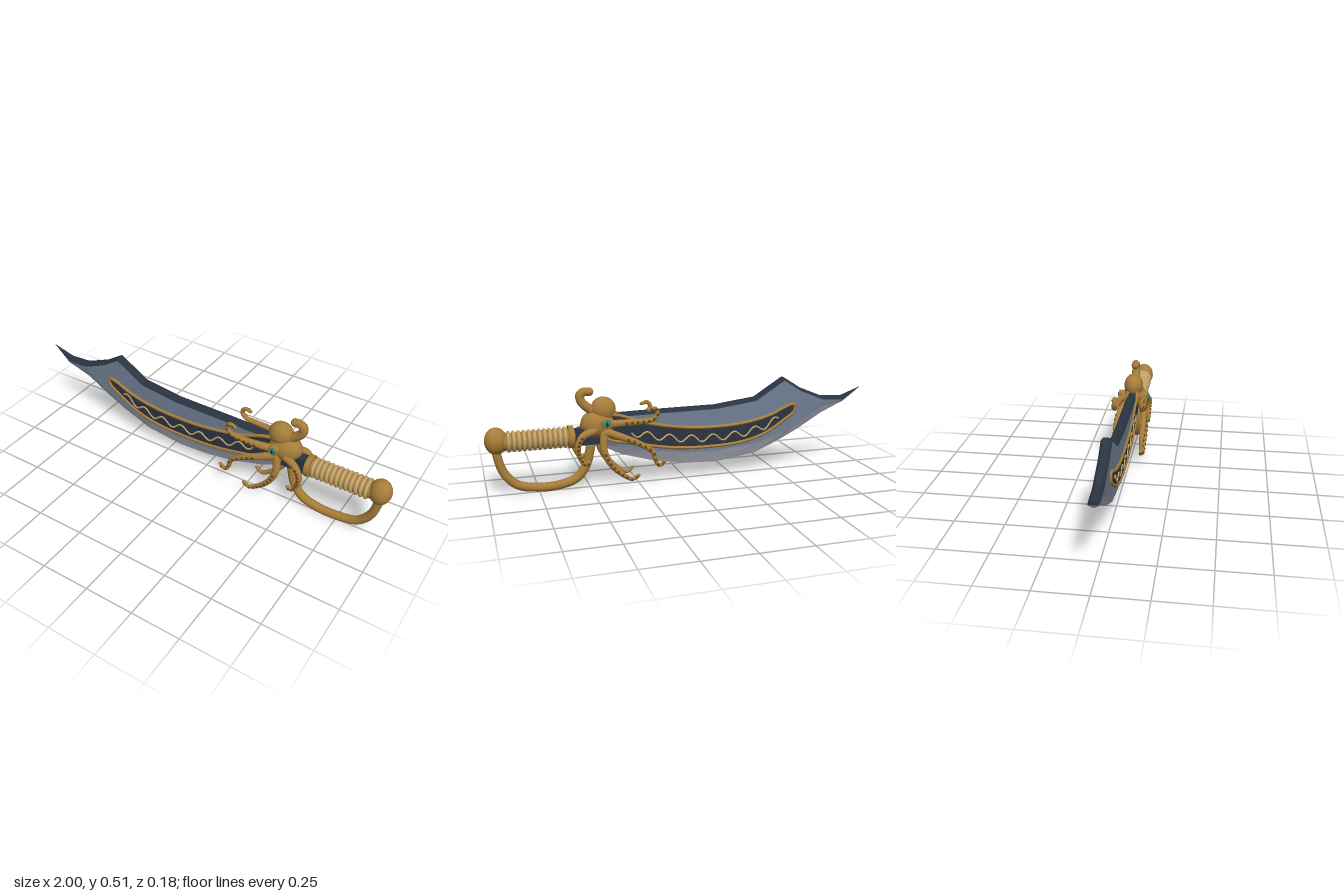
import * as THREE from 'three';

const mat = (name, color, side = THREE.FrontSide) => {
  const m = new THREE.MeshStandardMaterial({ color, side });
  m.name = name;
  return m;
};

export function createModel() {
  const brass = mat('brass', 0xa67d3a);
  const wire = mat('pale brass', 0xc4a468);
  const steel = mat('blue steel', 0x718094);
  const edgeSteel = mat('sharpened edge', 0xa6abb4);
  const navy = mat('dark steel', 0x2b3442);
  const teal = mat('teal eye', 0x1f8c86);
  const black = mat('pupil', 0x12161c);
  const sucker = mat('sucker brown', 0x65451f);

  const root = new THREE.Group();
  root.name = 'octopusCutlass';
  const add = (name, geo, material, x = 0, y = 0, z = 0, parent = root) => {
    const mesh = new THREE.Mesh(geo, material);
    mesh.name = name;
    mesh.position.set(x, y, z);
    parent.add(mesh);
    return mesh;
  };
  const ball = (name, material, r, x, y, z, sx = 1, sy = 1, sz = 1, parent = root) => {
    const m = add(name, new THREE.SphereGeometry(r, 24, 16), material, x, y, z, parent);
    m.scale.set(sx, sy, sz);
    return m;
  };
  const curveOf = (pts, closed = false) =>
    new THREE.CatmullRomCurve3(pts.map(p => new THREE.Vector3(p[0], p[1], p[2] || 0)), closed);

  // Tube whose radius runs from r0 to r1, with rounded ends
  const taperTube = (name, curve, r0, r1, material, parent = root, segs = 40) => {
    const sides = 10;
    const geo = new THREE.TubeGeometry(curve, segs, 1, sides);
    const pos = geo.attributes.position;
    const v = new THREE.Vector3();
    for (let i = 0; i < pos.count; i++) {
      const t = Math.floor(i / (sides + 1)) / segs;
      const c = curve.getPointAt(t);
      v.fromBufferAttribute(pos, i).sub(c).multiplyScalar(r0 + (r1 - r0) * t).add(c);
      pos.setXYZ(i, v.x, v.y, v.z);
    }
    geo.computeBoundingSphere();
    add(name, geo, material, 0, 0, 0, parent);
    for (const [t, r] of [[0, r0], [1, r1]]) {
      const c = curve.getPointAt(t);
      ball(name + 'End', material, r, c.x, c.y, c.z, 1, 1, 1, parent);
    }
  };

  // Blade cross-sections: x, spine, grind line, edge, half thickness
  const stations = [
    [-1, 0.425, 0.425, 0.425, 0], [-0.885, 0.377, 0.355, 0.347, 0.025],
    [-0.767, 0.385, 0.338, 0.293, 0.026], [-0.634, 0.44, 0.262, 0.215, 0.026],
    [-0.537, 0.502, 0.208, 0.166, 0.026], [-0.38, 0.404, 0.158, 0.1, 0.026],
    [-0.163, 0.377, 0.138, 0.072, 0.026], [0, 0.376, 0.142, 0.08, 0.026],
    [0.15, 0.375, 0.16, 0.103, 0.026], [0.33, 0.372, 0.2, 0.155, 0.026], [0.46, 0.35, 0.25, 0.22, 0.026],
  ];
  const row = (yOf, zOf) => stations.map(s => [s[0], yOf(s), zOf(s)]);
  const strip = (name, a, b, material, flip = false) => {
    const p = [];
    for (let i = 0; i < a.length - 1; i++) {
      const q = flip ? [a[i], a[i + 1], b[i + 1], b[i]] : [a[i], b[i], b[i + 1], a[i + 1]];
      for (const k of [0, 1, 2, 0, 2, 3]) p.push(...q[k]);
    }
    const geo = new THREE.BufferGeometry();
    geo.setAttribute('position', new THREE.Float32BufferAttribute(p, 3));
    geo.computeVertexNormals();
    add(name, geo, material);
  };
  const shoulderY = s => s[1] - 0.6 * s[4];
  const spine = side => row(s => s[1], s => side * s[4] * 0.6);
  strip('bladeSpine', spine(-1), spine(1), navy);
  for (const side of [1, -1]) {
    const shoulder = row(shoulderY, s => side * s[4]);
    const grind = row(s => s[2], s => side * s[4] * 0.85);
    const edge = row(s => s[3], () => 0);
    strip('spineBevel', spine(side), shoulder, navy, side < 0);
    strip('bladeFlat', shoulder, grind, steel, side < 0);
    strip('bladeEdge', grind, edge, edgeSteel, side < 0);
  }
  add('tang', new THREE.BoxGeometry(0.16, 0.08, 0.05), navy, 0.51, 0.265, 0);

  // Dark inlay, brass rim and wavy inlay on both faces
  const upper = [[-0.595, 0.358], [-0.55, 0.347], [-0.46, 0.308], [-0.34, 0.28], [-0.18, 0.268], [0, 0.276], [0.2, 0.312], [0.4, 0.365]];
  const lower = [[0.42, 0.26], [0.27, 0.214], [0.06, 0.174], [-0.12, 0.165], [-0.29, 0.174], [-0.42, 0.207], [-0.53, 0.27], [-0.6, 0.325]];
  const outline = curveOf([...upper, ...lower], true);
  const inlay = new THREE.Shape(outline.getPoints(100).map(p => new THREE.Vector2(p.x, p.y)));
  const upCurve = curveOf(upper), lowCurve = curveOf([...lower].reverse());
  const wavePts = [];
  for (let i = 0; i <= 112; i++) {
    const t = 0.1 + 0.78 * i / 112;
    const mid = upCurve.getPointAt(t).add(lowCurve.getPointAt(t)).multiplyScalar(0.5);
    wavePts.push([mid.x, mid.y - 0.005 + 0.018 * Math.sin(i / 112 * Math.PI * 14)]);
  }
  const wave = curveOf(wavePts);
  for (const side of [1, -1]) {
    const face = new THREE.Group();
    face.name = 'bladeInlay';
    face.rotation.y = side > 0 ? 0 : Math.PI;
    root.add(face);
    // The rear face is turned round, so its x is mirrored back
    const place = geo => {
      if (side < 0) {
        geo.scale(-1, 1, 1);
        const ix = geo.index.array;
        for (let i = 0; i < ix.length; i += 3) [ix[i], ix[i + 1]] = [ix[i + 1], ix[i]];
        geo.computeVertexNormals();
      }
      return geo;
    };
    add('inlayPanel', place(new THREE.ShapeGeometry(inlay)), navy, 0, 0, 0.0275, face);
    add('inlayRim', place(new THREE.TubeGeometry(outline, 120, 0.009, 8, true)), brass, 0, 0, 0.026, face);
    add('inlayWave', place(new THREE.TubeGeometry(wave, 160, 0.005, 6)), wire, 0, 0, 0.028, face);
  }

  // Grip: dark core, wire rings, collar and pommel
  const alongX = geo => geo.rotateZ(Math.PI / 2);
  add('gripCore', alongX(new THREE.CylinderGeometry(0.042, 0.042, 0.34, 24)), brass, 0.74, 0.268, 0);
  add('gripCollar', alongX(new THREE.CylinderGeometry(0.056, 0.056, 0.025, 24)), brass, 0.588, 0.268, 0);
  for (let i = 0; i < 12; i++) {
    add('gripRing', new THREE.TorusGeometry(0.043, 0.0095, 8, 24).rotateY(Math.PI / 2), wire, 0.617 + i * 0.0245, 0.268, 0);
  }
  ball('pommel', brass, 0.055, 0.945, 0.276, 0, 1, 1.2, 1);

  // Knuckle guard and the raised single tentacle
  taperTube('knuckleGuard', curveOf([[0.49, 0.215], [0.515, 0.12], [0.565, 0.055], [0.65, 0.027], [0.77, 0.026],
    [0.86, 0.05], [0.92, 0.12], [0.95, 0.23]]), 0.023, 0.022, brass);
  taperTube('raisedTentacle', curveOf([[0.44, 0.36], [0.495, 0.405], [0.53, 0.44], [0.535, 0.475], [0.515, 0.488], [0.49, 0.488]]), 0.025, 0.021, brass);

  // Octopus body and mantle
  ball('octopusBody', brass, 0.062, 0.452, 0.325, 0, 1.4, 1.15, 1);
  ball('octopusMantle', brass, 0.063, 0.423, 0.396, 0, 1, 1, 0.82);

  // Paired tentacles: [x, y, z] paths, mirrored in z
  const arms = [
    [[0.42, 0.325, 0.04], [0.35, 0.335, 0.065], [0.26, 0.337, 0.073], [0.19, 0.345, 0.073], [0.165, 0.375, 0.073], [0.18, 0.4, 0.073], [0.21, 0.393, 0.075]],
    [[0.42, 0.29, 0.045], [0.35, 0.265, 0.065], [0.26, 0.225, 0.072], [0.19, 0.175, 0.072], [0.175, 0.125, 0.072], [0.155, 0.103, 0.072], [0.13, 0.125, 0.075]],
    [[0.43, 0.28, 0.045], [0.435, 0.2, 0.06], [0.4, 0.125, 0.065], [0.345, 0.07, 0.065], [0.295, 0.042, 0.065], [0.265, 0.06, 0.068]],
    [[0.48, 0.3, 0.045], [0.54, 0.28, 0.065], [0.565, 0.23, 0.07], [0.555, 0.175, 0.07], [0.53, 0.14, 0.07], [0.51, 0.15, 0.072]],
  ];
  for (const side of [1, -1]) {
    for (const arm of arms) {
      const g = new THREE.Group();
      g.name = 'tentacle';
      root.add(g);
      const curve = curveOf(arm.map(([x, y, z]) => [x, y, z * side]));
      taperTube('tentacleArm', curve, 0.021, 0.009, brass, g);
      for (let i = 0; i < 9; i++) {
        const t = 0.3 + i * 0.083, c = curve.getPointAt(t);
        const r = 0.021 - 0.012 * t;
        add('suckerDisc', new THREE.SphereGeometry(0.0085 - 0.002 * t, 10, 8), sucker,
          c.x, c.y, c.z + side * r, g).scale.z = 0.5;
      }
    }
    // Eye with lid ring and pupil
    ball('eyeSocket', brass, 0.027, 0.42, 0.337, side * 0.062, 1, 1, 0.8);
    ball('eye', teal, 0.02, 0.42, 0.338, side * 0.075, 1, 1, 0.6);
    add('eyelid', new THREE.TorusGeometry(0.021, 0.005, 8, 24), brass, 0.42, 0.338, side * 0.077);
    ball('pupil', black, 0.008, 0.42, 0.338, side * 0.085, 0.6, 1.3, 0.4);
  }
  return root;
}
